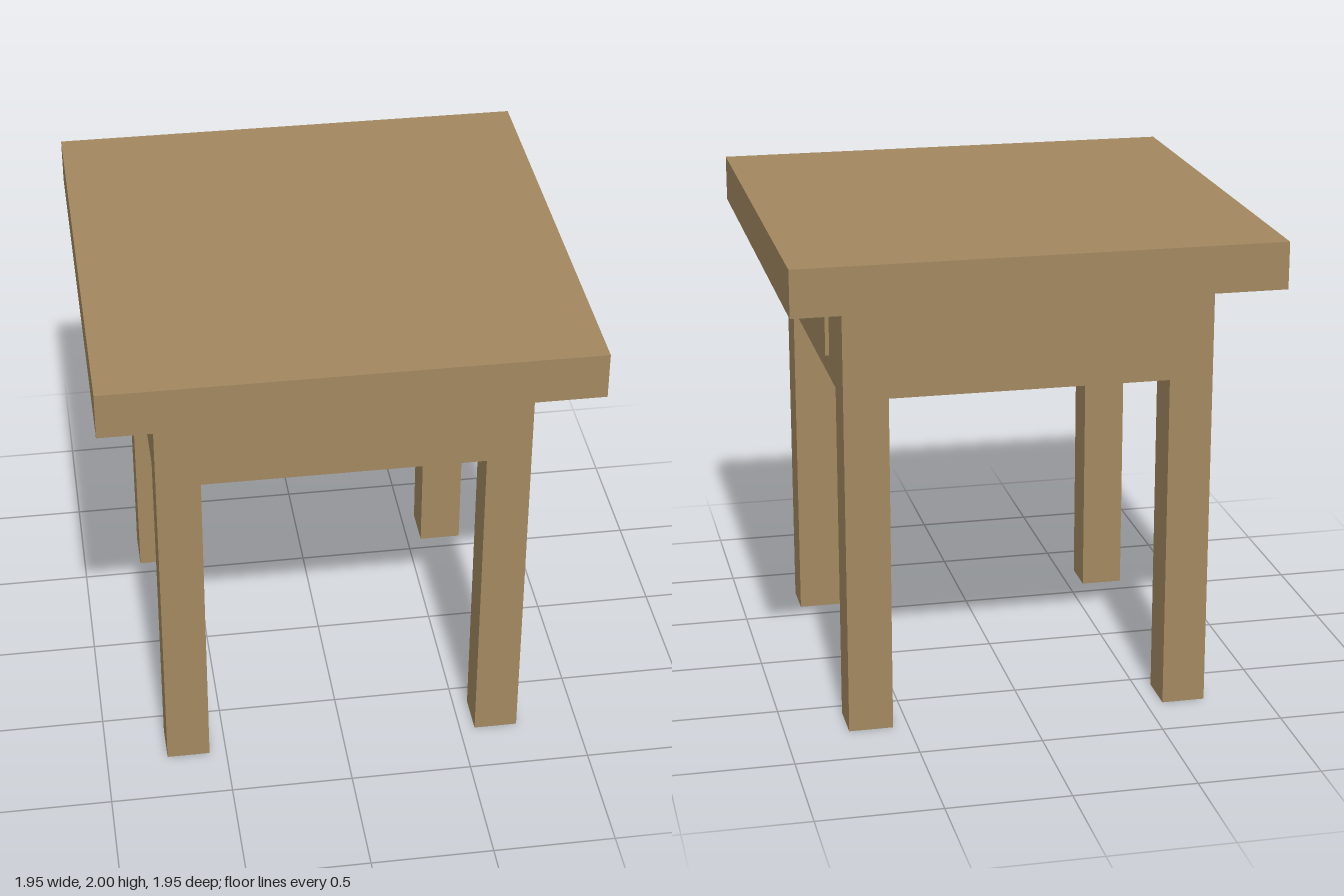
import * as THREE from 'three';

export function createModel() {
  const group = new THREE.Group();
  const wood = new THREE.MeshStandardMaterial({ color: 0xa28860 });
  wood.name = 'wood';
  const black = new THREE.MeshStandardMaterial({ color: 0x0a0a0a, flatShading: true });
  black.name = 'black';

  // box given by its lower and upper corners
  const box = (name, [x0, y0, z0], [x1, y1, z1]) => {
    const mesh = new THREE.Mesh(new THREE.BoxGeometry(x1 - x0, y1 - y0, z1 - z0), wood);
    mesh.position.set((x0 + x1) / 2, (y0 + y1) / 2, (z0 + z1) / 2);
    mesh.name = name;
    group.add(mesh);
  };

  box('tableTop', [-0.973, 1.81, -0.973], [0.973, 2, 0.973]);
  box('drawerCase', [-0.747, 1.4, -0.75], [0.743, 1.81, 0.762]);
  box('drawerFront', [0.743, 1.488, -0.418], [0.759, 1.797, 0.414]);

  // four square legs flush with the corners of the case
  for (const [sideName, x0, x1] of [['Right', -0.747, -0.57], ['Left', 0.563, 0.743]]) {
    for (const [endName, z0, z1] of [['back', -0.75, -0.567], ['front', 0.59, 0.762]]) {
      box(`${endName}${sideName}Leg`, [x0, 0, z0], [x1, 1.4, z1]);
    }
  }

  // faceted drawer knob
  const knob = new THREE.Mesh(new THREE.SphereGeometry(1, 8, 6), black);
  knob.name = 'drawerKnob';
  knob.scale.set(0.038, 0.042, 0.046);
  knob.position.set(0.794, 1.645, 0);
  group.add(knob);

  return group;
}
